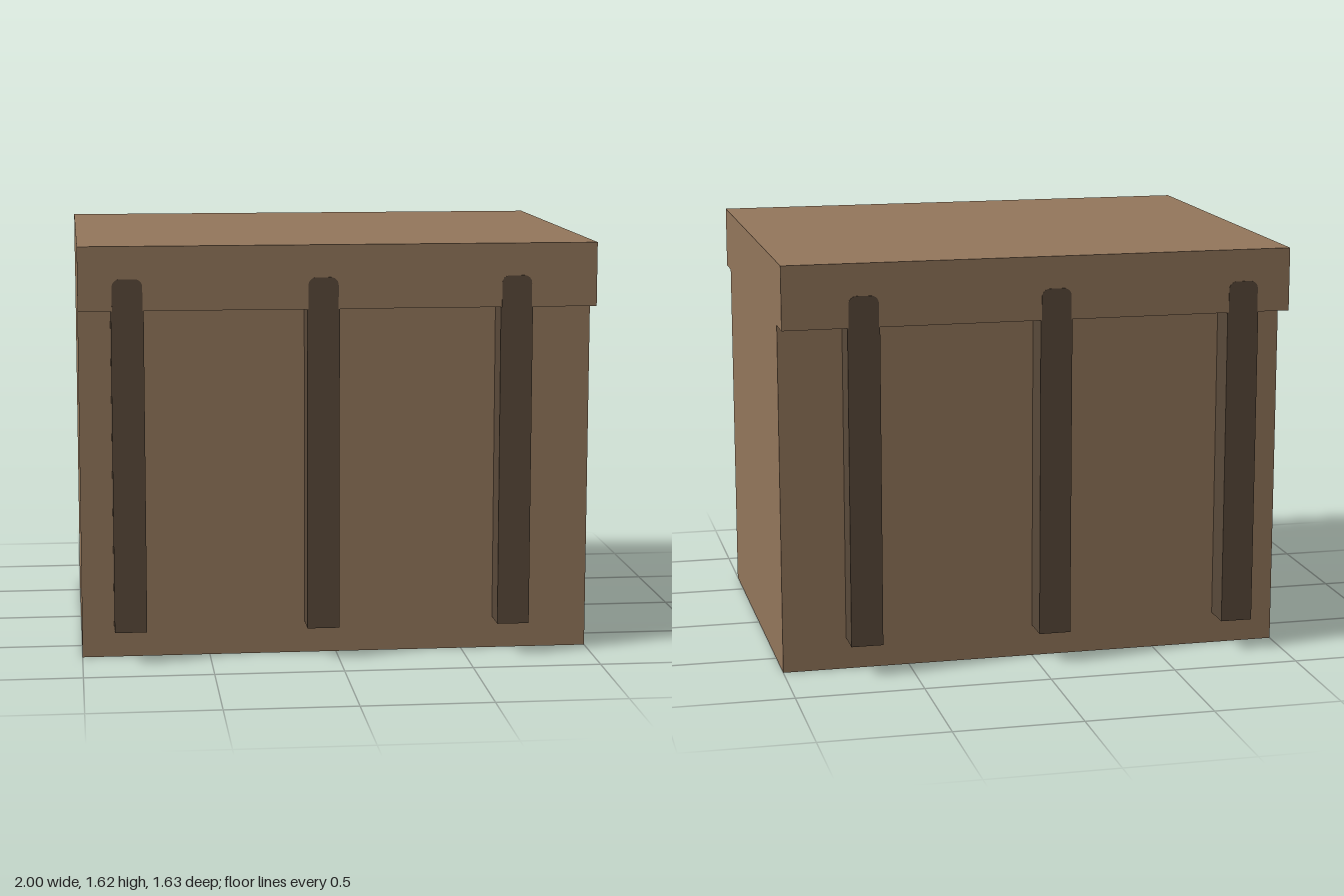
import * as THREE from 'three';

const WIDTH = 2, SEAM = 1.378, TOP = 1.625;
const BODY_Z = 0.6875, LID_Z = 0.8125;
const STRAP_W = 0.125, STRAP_BOTTOM = 0.125, TAB_TOP = 1.5;

export function createModel() {
  const wood = new THREE.MeshStandardMaterial({ color: 0x94775c });
  wood.name = 'tan wood';
  const leather = new THREE.MeshStandardMaterial({ color: 0x5a4a3a });
  leather.name = 'dark brown';

  const group = new THREE.Group();
  group.name = 'crate';

  // Box spanning y0..y1 and z0..z1, centred on x
  const addBox = (parent, name, material, w, y0, y1, z0, z1, x = 0) => {
    const mesh = new THREE.Mesh(new THREE.BoxGeometry(w, y1 - y0, z1 - z0), material);
    mesh.position.set(x, (y0 + y1) / 2, (z0 + z1) / 2);
    mesh.name = name;
    parent.add(mesh);
  };

  // Body and overhanging lid
  addBox(group, 'body', wood, WIDTH, 0, SEAM, -BODY_Z, BODY_Z);
  addBox(group, 'lid', wood, WIDTH, SEAM, TOP, -LID_Z, LID_Z);

  // Flat tab with rounded top corners, painted on the lid edge
  const w = 0.058, h = TAB_TOP - SEAM, r = 0.03;
  const tabShape = new THREE.Shape();
  tabShape.moveTo(-w, 0);
  tabShape.lineTo(w, 0);
  tabShape.lineTo(w, h - r);
  tabShape.absarc(w - r, h - r, r, 0, Math.PI / 2);
  tabShape.lineTo(-w + r, h);
  tabShape.absarc(-w + r, h - r, r, Math.PI / 2, Math.PI);
  tabShape.closePath();
  const tabGeometry = new THREE.ExtrudeGeometry(tabShape, {
    depth: 0.003, bevelEnabled: false, curveSegments: 5,
  });

  // Three straps on the front and three on the back, at the same x
  for (const side of [1, -1]) {
    const straps = new THREE.Group();
    straps.name = side > 0 ? 'frontStraps' : 'backStraps';
    for (const x of [-0.8125, -0.0625, 0.6875]) {
      const z0 = side > 0 ? BODY_Z : -LID_Z;
      addBox(straps, 'strap', leather, STRAP_W, STRAP_BOTTOM, SEAM, z0, z0 + LID_Z - BODY_Z, x);
      const tab = new THREE.Mesh(tabGeometry, leather);
      tab.name = 'strapTab';
      tab.position.set(x, SEAM, side * (LID_Z - 0.001));
      if (side < 0) tab.rotation.y = Math.PI;
      straps.add(tab);
    }
    group.add(straps);
  }
  return group;
}
